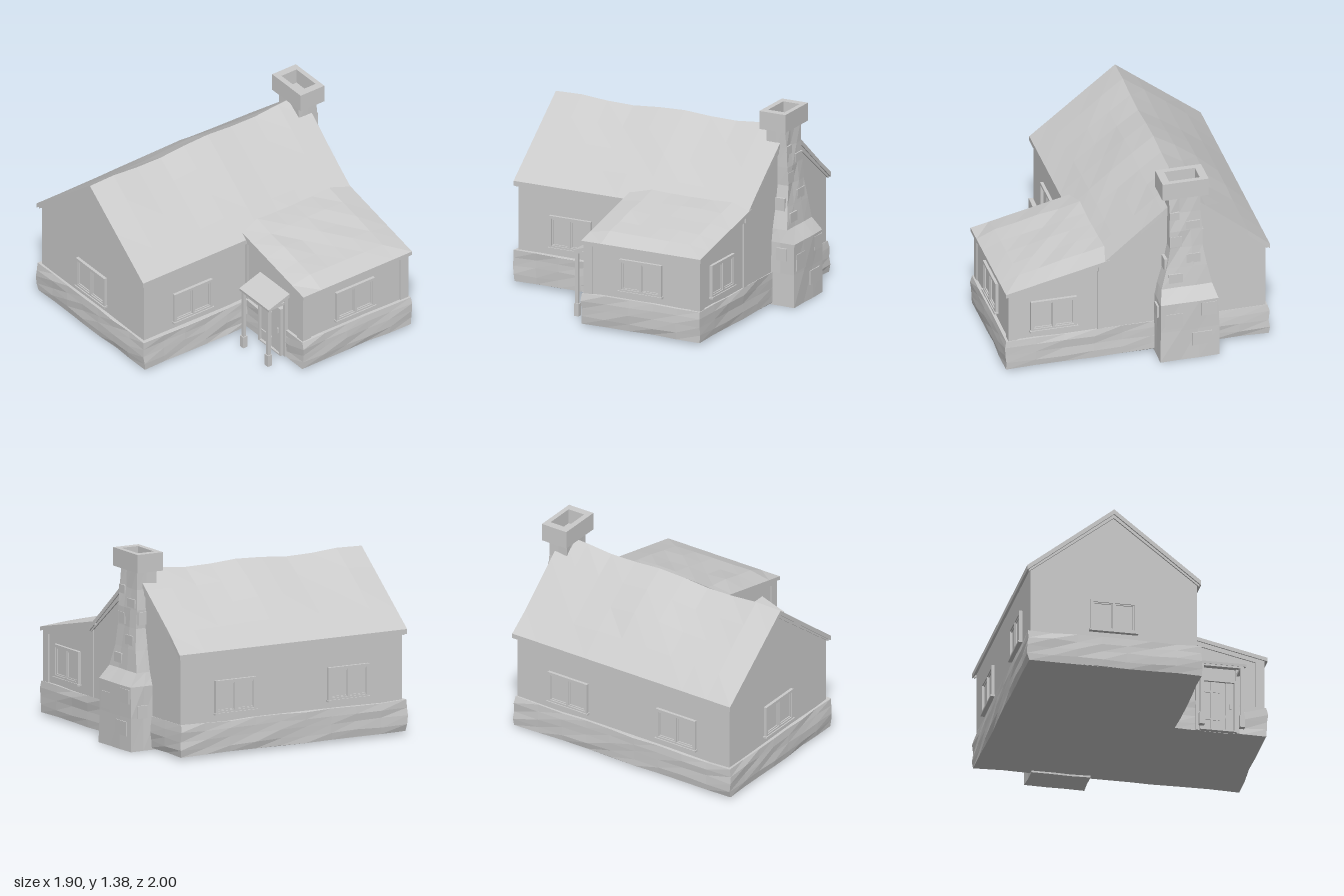
import * as THREE from 'three';

const mat = new THREE.MeshStandardMaterial({ color: 0xcccccc, flatShading: true });

function add(parent, name, geometry) {
  const mesh = new THREE.Mesh(geometry, mat);
  mesh.name = name;
  parent.add(mesh);
  return mesh;
}

// Box given by its limits on each axis
function box(parent, name, x0, x1, y0, y1, z0, z1) {
  const mesh = add(parent, name, new THREE.BoxGeometry(x1 - x0, y1 - y0, z1 - z0));
  mesh.position.set((x0 + x1) / 2, (y0 + y1) / 2, (z0 + z1) / 2);
  return mesh;
}

// Repeatable unevenness in -1..1 from a position
function wobble(x, y, z) {
  const s = Math.sin(x * 127.1 + y * 311.7 + z * 74.7) * 43758.5453;
  return (s - Math.floor(s)) * 2 - 1;
}

// Extrude a polygon in x, y from z0 to z1
function extrude(points, z0, z1, holes = []) {
  const shape = new THREE.Shape(points.map(p => new THREE.Vector2(...p)));
  for (const h of holes) shape.holes.push(new THREE.Path(h.map(p => new THREE.Vector2(...p))));
  return new THREE.ExtrudeGeometry(shape, { depth: z1 - z0, bevelEnabled: false }).translate(0, 0, z0);
}

const rect = (x0, x1, y0, y1) => [[x0, y0], [x1, y0], [x1, y1], [x0, y1]];

// Split the sides of an outline of [x, z] corners into short steps
function subdivide(corners, counts) {
  return corners.flatMap(([x, z], i) => {
    const [nx, nz] = corners[(i + 1) % corners.length];
    return Array.from({ length: counts[i] }, (_, k) =>
      [x + (nx - x) * k / counts[i], z + (nz - z) * k / counts[i]]);
  });
}

// Closed solid through stacked rings of [x, y, z] points
function loft(rings) {
  const n = rings[0].length, index = [];
  for (let j = 0; j < rings.length - 1; j++)
    for (let i = 0; i < n; i++) {
      const a = j * n + i, b = j * n + (i + 1) % n;
      index.push(a, b, b + n, a, b + n, a + n);
    }
  const flat = ring => ring.map(p => new THREE.Vector2(p[0], -p[2]));
  const top = (rings.length - 1) * n;
  for (const [a, b, c] of THREE.ShapeUtils.triangulateShape(flat(rings[0]), [])) index.push(c, b, a);
  for (const [a, b, c] of THREE.ShapeUtils.triangulateShape(flat(rings.at(-1)), []))
    index.push(top + a, top + b, top + c);
  const g = new THREE.BufferGeometry();
  g.setAttribute('position', new THREE.Float32BufferAttribute(rings.flat(2), 3));
  g.setIndex(index);
  g.computeVertexNormals();
  return g;
}

// Roof slab: a divided box whose vertices follow rule(u, v, isTop)
function roofSlab(nx, nz, rule) {
  const g = new THREE.BoxGeometry(1, 1, 1, nx, 1, nz);
  const p = g.attributes.position;
  for (let i = 0; i < p.count; i++)
    p.setXYZ(i, ...rule(p.getX(i) + 0.5, p.getZ(i) + 0.5, p.getY(i) > 0));
  g.computeVertexNormals();
  return g;
}

// Two-pane window facing +z, turned onto its wall
function windowUnit(parent, name, x, z, turn) {
  const w = new THREE.Group();
  w.name = name;
  add(w, 'windowFrame', extrude(rect(-0.165, 0.165, -0.115, 0.12), 0, 0.022,
    [rect(-0.145, -0.008, -0.095, 0.1), rect(0.008, 0.145, -0.095, 0.1)]));
  for (const s of [-1, 1])
    add(w, 'windowSash', extrude(rect(s * 0.0765 - 0.0685, s * 0.0765 + 0.0685, -0.095, 0.1), 0, 0.014,
      [rect(s * 0.0765 - 0.06, s * 0.0765 + 0.06, -0.086, 0.091)]));
  box(w, 'windowGlass', -0.15, 0.15, -0.1, 0.105, -0.01, 0.006);
  box(w, 'windowSill', -0.172, 0.172, -0.122, -0.108, -0.01, 0.03);
  w.position.set(x, 0.41, z);
  w.rotation.y = turn;
  parent.add(w);
}

export function createModel() {
  const house = new THREE.Group();
  house.name = 'cottage';

  // Uneven stone base on an L-shaped plan
  const plan = subdivide(
    [[0.945, -0.83], [-0.945, -0.83], [-0.945, 0.995], [0.29, 0.995], [0.29, 0.105], [0.945, 0.105]],
    [9, 9, 7, 5, 4, 5]);
  const levels = [[0.02, 0.992], [0.07, 1], [0.13, 1], [0.19, 1], [0.24, 0.994]];
  add(house, 'stoneBase', loft(levels.map(([y, s], j) => plan.map(([x, z]) => [
    x * s + 0.006 * wobble(x, j, z),
    y + (j ? 0.006 : 0.003) * wobble(z, j, x),
    z * s + 0.006 * wobble(x, z, j)]))));

  // Walls
  add(house, 'mainWalls', extrude(
    [[-0.92, 0.1], [0.258, 0.1], [0.258, 0.73], [-0.333, 1.195], [-0.92, 0.735]], -0.815, 0.97));
  add(house, 'wingWalls', extrude([[0.2, 0.1], [0.915, 0.1], [0.915, 0.6], [0.2, 0.755]], -0.81, 0.085));

  // Boards under the gable edges
  for (const z of [-0.825, 0.968])
    add(house, 'gableBoard', extrude([[-0.935, 0.7], [-0.333, 1.165], [0.272, 0.7],
      [0.272, 0.74], [-0.333, 1.205], [-0.935, 0.74]], z, z + 0.014));

  // Wing corner boards and frieze
  for (const [z0, z1] of [[-0.822, -0.75], [0.025, 0.095]])
    box(house, 'cornerBoard', 0.86, 0.924, 0.2, 0.61, z0, z1);
  for (const [z0, z1] of [[-0.822, -0.8], [0.07, 0.095]]) {
    box(house, 'cornerBoard', 0.25, 0.286, 0.2, 0.74, z0, z1);
    add(house, 'wingFrieze', extrude([[0.25, 0.715], [0.92, 0.57], [0.92, 0.61], [0.25, 0.755]], z0, z1));
  }
  box(house, 'wingFrieze', 0.9, 0.926, 0.588, 0.61, -0.815, 0.09);

  // Main roof, sagging along the ridge and swelling on the slopes
  add(house, 'mainRoof', roofSlab(8, 9, (u, v, top) => {
    const side = Math.abs(u - 0.5) * 2;
    const inner = Math.sin(Math.PI * v), slope = Math.sin(Math.PI * side);
    const ridge = 1.22 + (1 - side) * (0.012 * Math.sin(v * 14 + 1.2) + 0.02 * (1 - v) ** 2);
    const swell = (u < 0.5 ? 0.035 : 0.012) * inner * slope + 0.006 * inner * slope * wobble(u, v, 1);
    return [-0.3325 + (u - 0.5) * 1.23,
      ridge - 0.478 * side + (top ? swell : -0.035),
      -0.835 + 1.83 * v + (v === 0 ? 0.006 * wobble(u, 2, 3) : 0)];
  }));

  // Wing roof with rounded-down edges
  add(house, 'wingRoof', roofSlab(5, 6, (u, v, top) => {
    const x = 0.2 + 0.745 * Math.min(1, u < 0.7 ? u * 1.05 : u + (1 - u) * 0.12);
    const z = -0.835 + 0.94 * v;
    const edge = Math.min(1, Math.min(v, 1 - v) * 6) * Math.min(1, (1 - u) * 5);
    const lift = 0.026 * edge + 0.007 * edge * wobble(u, v, 5);
    return [x, 0.775 - 0.222 * (x - 0.26) + (top ? lift : -0.028), z];
  }));

  // Windows on every wall
  windowUnit(house, 'frontWindow', -0.335, 0.97, 0);
  windowUnit(house, 'mainSideWindow', 0.258, 0.555, Math.PI / 2);
  windowUnit(house, 'wingSideWindow', 0.915, -0.355, Math.PI / 2);
  windowUnit(house, 'wingBackWindow', 0.6, -0.81, Math.PI);
  for (const z of [-0.38, 0.53]) windowUnit(house, 'rightWallWindow', -0.92, z, -Math.PI / 2);

  // Door and its frame
  const door = new THREE.Group();
  door.name = 'door';
  house.add(door);
  add(door, 'doorFrame', extrude(rect(0.46, 0.72, 0.02, 0.41), 0.08, 0.135, [rect(0.478, 0.702, 0.03, 0.392)]));
  for (let i = 0; i < 4; i++)
    box(door, 'doorPlank', 0.479 + i * 0.056, 0.532 + i * 0.056, 0.025, 0.392, 0.08, 0.118 + (i % 2) * 0.003);
  for (const y of [0.1, 0.31]) box(door, 'doorHinge', 0.48, 0.6, y, y + 0.015, 0.11, 0.125);
  box(door, 'doorHandle', 0.672, 0.684, 0.19, 0.23, 0.115, 0.132);

  // Porch
  const porch = new THREE.Group();
  porch.name = 'porch';
  house.add(porch);
  const cover = add(porch, 'porchRoof', extrude(
    [[0.08, 0.515], [0.265, 0.462], [0.267, 0.48], [0.08, 0.545]], 0, 0.34));
  cover.rotation.y = -Math.PI / 2;
  cover.position.x = 0.76;
  for (const x of [0.447, 0.732]) {
    box(porch, 'porchPost', x - 0.012, x + 0.012, 0.05, 0.475, 0.237, 0.26);
    box(porch, 'postFoot', x - 0.019, x + 0.019, 0, 0.09, 0.23, 0.267);
    box(porch, 'wallPost', x - 0.012, x + 0.012, 0.02, 0.515, 0.09, 0.115);
    box(porch, 'porchBeam', x - 0.01, x + 0.01, 0.455, 0.475, 0.09, 0.25);
  }
  box(porch, 'porchBeam', 0.44, 0.74, 0.45, 0.472, 0.24, 0.257);

  // Chimney stack: y, x limits, z limits
  const chimney = new THREE.Group();
  chimney.name = 'chimney';
  house.add(chimney);
  const stack = [
    [0.005, -0.54, -0.12, -0.995, -0.78], [0.24, -0.54, -0.12, -0.993, -0.78],
    [0.46, -0.535, -0.125, -0.993, -0.78], [0.55, -0.505, -0.145, -0.925, -0.77],
    [0.7, -0.475, -0.185, -0.91, -0.76], [0.85, -0.45, -0.215, -0.895, -0.74],
    [0.98, -0.445, -0.215, -0.89, -0.73], [1.12, -0.44, -0.215, -0.88, -0.725],
    [1.27, -0.44, -0.215, -0.875, -0.725]];
  add(chimney, 'chimneyStack', loft(stack.map(([y, x0, x1, z0, z1], j) =>
    subdivide([[x1, z0], [x0, z0], [x0, z1], [x1, z1]], [3, 2, 3, 2]).map(([x, z]) =>
      [x + 0.005 * wobble(x, y, z), y, z + 0.005 * wobble(z, x, j)]))));

  // Stones standing proud of the stack
  const stones = [[-0.22, 0.32, -0.985, 0.13, 0.12], [-0.42, 0.16, -0.985, 0.14, 0.1],
    [-0.47, 0.39, -0.984, 0.11, 0.1], [-0.25, 0.62, -0.91, 0.1, 0.07], [-0.38, 0.76, -0.896, 0.1, 0.07],
    [-0.26, 0.9, -0.885, 0.08, 0.08], [-0.38, 1.02, -0.88, 0.1, 0.06], [-0.25, 1.1, -0.876, 0.07, 0.06]];
  for (const [x, y, z, w, h] of stones)
    box(chimney, 'chimneyStone', x - w / 2, x + w / 2, y - h / 2, y + h / 2, z - 0.014, z + 0.03);
  for (const [x, y, z] of [[-0.125, 0.38, -0.9], [-0.535, 0.28, -0.9], [-0.19, 0.72, -0.85], [-0.445, 0.92, -0.84]])
    box(chimney, 'chimneyStone', x - 0.014, x + 0.014, y - 0.045, y + 0.045, z - 0.04, z + 0.04);

  // Hollow chimney cap
  const cap = add(chimney, 'chimneyCap', extrude(rect(-0.49, -0.16, 0.7, 0.905), 0, 0.13,
    [rect(-0.435, -0.215, 0.74, 0.87)]));
  cap.rotation.x = -Math.PI / 2;
  cap.position.y = 1.25;
  return house;
}
